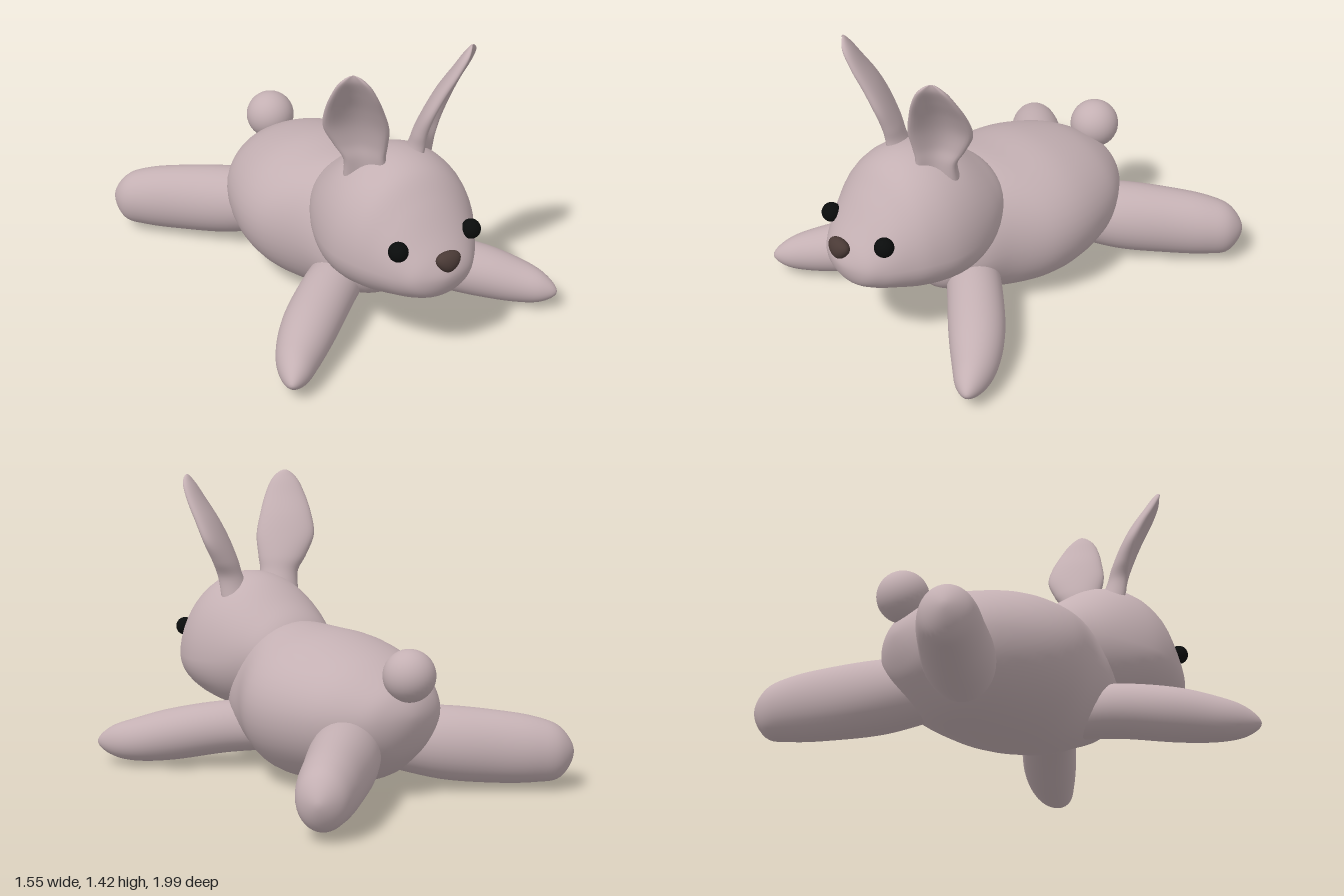
import * as THREE from 'three';
import { mergeVertices } from 'three/addons/utils/BufferGeometryUtils.js';

const fur = new THREE.MeshStandardMaterial({ color: 0xc4b0b3 });
const black = new THREE.MeshStandardMaterial({ color: 0x0a0c0c });
const brown = new THREE.MeshStandardMaterial({ color: 0x4a3a36 });
const UP = new THREE.Vector3(0, 1, 0);

// Catmull-Rom through rows [x, y, z, ...radii]; a zero-radius end closes as a round dome
function smoothRows(rows, steps) {
  const mirror = (end, next) => (end[3] === 0 ? next.map((v, i) => (i < 3 ? v : -v)) : end);
  const n = rows.length;
  const p = [mirror(rows[0], rows[1]), ...rows, mirror(rows[n - 1], rows[n - 2])];
  const out = [];
  for (let k = 1; k < n; k++) {
    for (let s = 0; s < steps; s++) {
      const t = s / steps;
      out.push(p[k].map((b, i) => {
        const a = p[k - 1][i], c = p[k + 1][i], d = p[k + 2][i];
        return b + 0.5 * t * (c - a + t * (2 * a - 5 * b + 4 * c - d + t * (3 * (b - c) + d - a)));
      }));
    }
  }
  out.push(rows[n - 1]);
  return out;
}

// Skin cross-sections along the rows; section(angle, row) gives the offset along u and v
function loft(name, rows, u, v, section, steps = 6, sides = 36) {
  const rings = smoothRows(rows, steps);
  const pos = [], index = [];
  rings.forEach((row, r) => {
    for (let i = 0; i < sides; i++) {
      const [a, b] = section((i / sides) * Math.PI * 2, row);
      pos.push(row[0] + u.x * a + v.x * b, row[1] + u.y * a + v.y * b, row[2] + u.z * a + v.z * b);
      if (r === rings.length - 1) continue;
      const j = (i + 1) % sides, p = r * sides, q = p + sides;
      index.push(p + i, p + j, q + i, p + j, q + j, q + i);
    }
  });
  let geo = new THREE.BufferGeometry();
  geo.setAttribute('position', new THREE.Float32BufferAttribute(pos, 3));
  geo.setIndex(index);
  geo = mergeVertices(geo, 1e-5);
  geo.computeVertexNormals();
  const mesh = new THREE.Mesh(geo, fur);
  mesh.name = name;
  return mesh;
}

// Egg section: half width, height above and height below the widest line
const egg = (t, [, , , w, up, down]) => [w * Math.cos(t), Math.sin(t) * (Math.sin(t) > 0 ? up : down)];

// Ear section: rounded back, dished front with a soft rim
const earSection = (t, [, , , w, depth, dish]) => {
  const s = Math.sin(t);
  return [w * Math.cos(t), s < 0 ? depth * s : depth * s - dish * s ** 3];
};

function limb(name, rows, side) {
  const path = rows.map(([x, ...rest]) => [x * side, ...rest]);
  const first = path[0], last = path[path.length - 1];
  const dir = new THREE.Vector3(last[0] - first[0], 0, last[2] - first[2]).normalize();
  return loft(name, path, UP.clone().cross(dir), UP, egg);
}

function ball(name, r, material, x, y, z) {
  const mesh = new THREE.Mesh(new THREE.SphereGeometry(r, 32, 20), material);
  mesh.name = name;
  mesh.position.set(x, y, z);
  return mesh;
}

export function createModel() {
  const model = new THREE.Group();
  model.name = 'lyingRabbit';
  const X = new THREE.Vector3(1, 0, 0);

  // Body, from rump to chest
  model.add(loft('body', [
    [0, 0.39, -0.69, 0, 0, 0],
    [0, 0.38, -0.66, 0.14, 0.10, 0.11],
    [0, 0.37, -0.59, 0.25, 0.18, 0.20],
    [0, 0.37, -0.43, 0.37, 0.27, 0.31],
    [0, 0.37, -0.2, 0.44, 0.335, 0.355],
    [0, 0.37, 0, 0.43, 0.35, 0.365],
    [0, 0.37, 0.2, 0.33, 0.35, 0.34],
    [0, 0.34, 0.35, 0.27, 0.3, 0.25],
    [0, 0.3, 0.48, 0.17, 0.18, 0.14],
    [0, 0.3, 0.53, 0, 0, 0],
  ], X, UP, egg, 6, 48));

  // Head, from nape to muzzle
  model.add(loft('head', [
    [0, 0.56, 0.08, 0, 0, 0],
    [0, 0.56, 0.13, 0.19, 0.15, 0.15],
    [0, 0.55, 0.25, 0.285, 0.265, 0.25],
    [0, 0.53, 0.4, 0.34, 0.38, 0.275],
    [0, 0.52, 0.55, 0.355, 0.415, 0.25],
    [0, 0.52, 0.68, 0.325, 0.375, 0.225],
    [0, 0.51, 0.78, 0.27, 0.28, 0.185],
    [0, 0.5, 0.87, 0.205, 0.165, 0.145],
    [0, 0.49, 0.935, 0.13, 0.08, 0.09],
    [0, 0.49, 0.965, 0, 0, 0],
  ], X, UP, egg, 6, 48));

  model.add(ball('tail', 0.12, fur, 0, 0.58, -0.655));

  // Nose: a flattened ball, wider at the top
  const nose = ball('nose', 0.05, brown, 0, 0.58, 0.96);
  const p = nose.geometry.attributes.position;
  for (let i = 0; i < p.count; i++) {
    p.setX(i, p.getX(i) * (1.15 + 8 * p.getY(i)));
    p.setZ(i, p.getZ(i) * 0.78);
  }
  nose.geometry.computeVertexNormals();
  model.add(nose);

  for (const side of [1, -1]) {
    const tag = side > 0 ? 'left' : 'right';

    model.add(ball(tag + 'Eye', 0.045, black, side * 0.19, 0.632, 0.855));

    model.add(limb(tag + 'FrontLeg', [
      [0.04, 0.2, 0.22, 0.12, 0.125, 0.11],
      [0.25, 0.2, 0.38, 0.13, 0.13, 0.125],
      [0.46, 0.165, 0.555, 0.13, 0.125, 0.13],
      [0.6, 0.13, 0.69, 0.105, 0.105, 0.105],
      [0.68, 0.115, 0.79, 0.065, 0.07, 0.065],
      [0.72, 0.11, 0.845, 0, 0, 0],
    ], side));

    model.add(limb(tag + 'HindLeg', [
      [0.1, 0.24, -0.38, 0.14, 0.14, 0.14],
      [0.29, 0.215, -0.55, 0.16, 0.175, 0.17],
      [0.48, 0.2, -0.72, 0.145, 0.17, 0.17],
      [0.62, 0.19, -0.84, 0.13, 0.15, 0.155],
      [0.71, 0.18, -0.915, 0.095, 0.11, 0.12],
      [0.755, 0.18, -0.955, 0, 0, 0],
    ], side));

    // Ears lean outwards and open to the front and side
    const turn = 0.68;
    const n = new THREE.Vector3(side * Math.sin(turn), 0, Math.cos(turn));
    model.add(loft(tag + 'Ear', [
      [0.13, 0.82, 0.5, 0.11, 0.09, 0.06],
      [0.155, 0.92, 0.515, 0.095, 0.07, 0.06],
      [0.18, 1.0, 0.52, 0.12, 0.065, 0.075],
      [0.215, 1.1, 0.54, 0.145, 0.06, 0.085],
      [0.245, 1.2, 0.575, 0.13, 0.055, 0.08],
      [0.275, 1.3, 0.62, 0.1, 0.045, 0.06],
      [0.295, 1.38, 0.65, 0.06, 0.03, 0.03],
      [0.3, 1.42, 0.655, 0, 0, 0],
    ].map(([x, ...rest]) => [x * side, ...rest]), n.clone().cross(UP), n, earSection));
  }
  return model;
}
